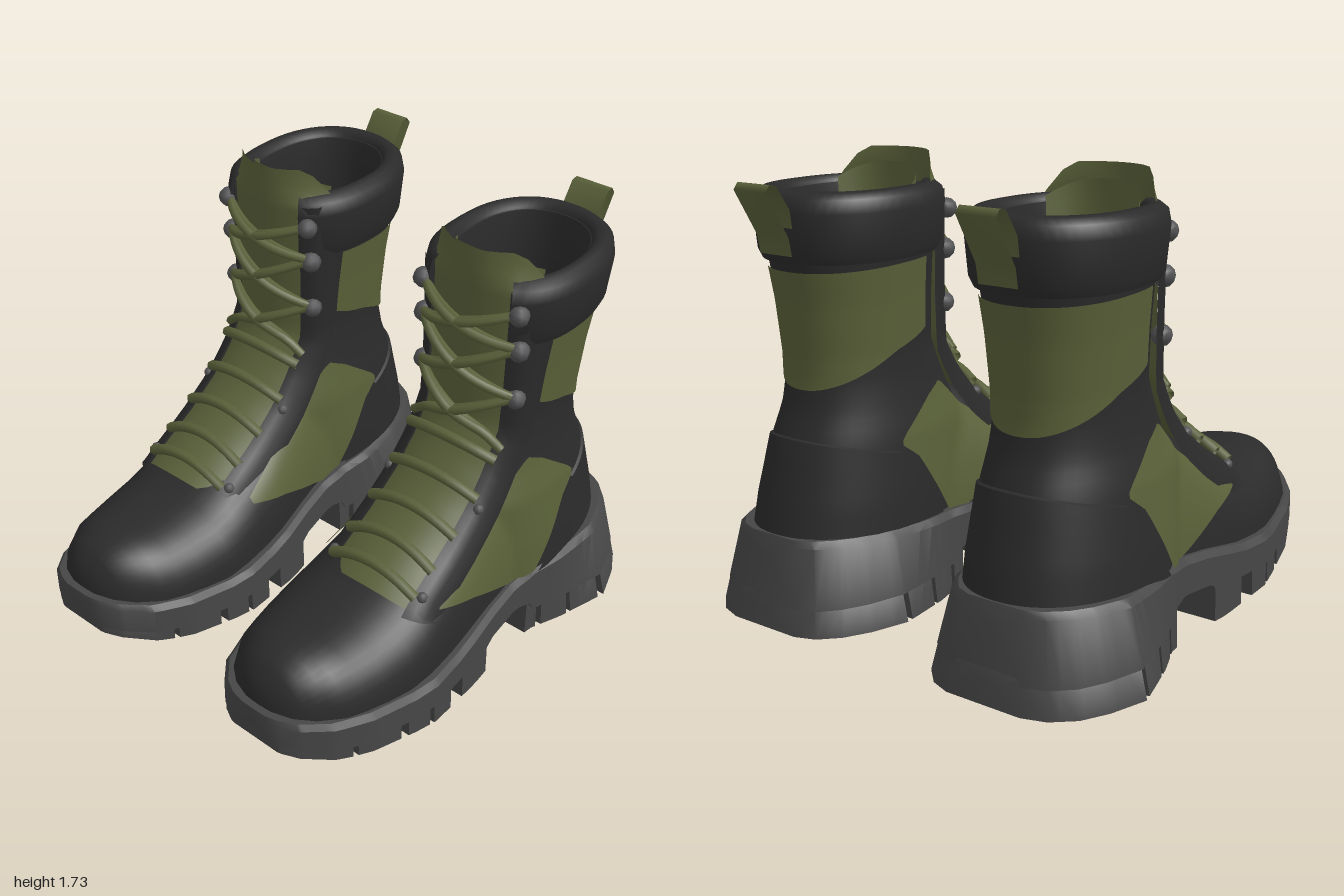
import * as THREE from 'three';
import { mergeVertices, toCreasedNormals } from 'three/addons/utils/BufferGeometryUtils.js';

const material = (name, color, side = THREE.FrontSide) => {
  const m = new THREE.MeshStandardMaterial({ color, side });
  m.name = name;
  return m;
};
const lerp = THREE.MathUtils.lerp;

// Linear lookup in rows [key, value, value...] sorted by rising key
function tab(rows, k, col = 1) {
  let i = 0;
  while (i < rows.length - 2 && k > rows[i + 1][0]) i++;
  const a = rows[i], b = rows[i + 1];
  const t = THREE.MathUtils.clamp((k - a[0]) / (b[0] - a[0]), 0, 1);
  return a[col] + (b[col] - a[col]) * t;
}
const range = (n, a, b) => Array.from({ length: n + 1 }, (_, i) => a + (b - a) * i / n);
const power = (v, p) => Math.sign(v) * Math.abs(v) ** p;

// Skin over rows of points; optional closed rows, end caps and creases
function skin(rows, { closed = false, caps = false, crease = 0 } = {}) {
  if (caps) {
    const middle = r => r.map(() => [0, 1, 2].map(k => r.reduce((s, p) => s + p[k], 0) / r.length));
    rows = [middle(rows[0]), ...rows, middle(rows[rows.length - 1])];
  }
  const m = rows[0].length, index = [];
  for (let i = 0; i < rows.length - 1; i++) {
    for (let j = 0; j < (closed ? m : m - 1); j++) {
      const a = i * m + j, b = i * m + (j + 1) % m;
      index.push(a, b, a + m, b, b + m, a + m);
    }
  }
  const g = new THREE.BufferGeometry();
  g.setAttribute('position', new THREE.Float32BufferAttribute(rows.flat(2), 3));
  g.setIndex(index);
  if (crease) return mergeVertices(toCreasedNormals(g, crease));
  g.computeVertexNormals();
  return g;
}

// Shaft: y, front z, back z, half width, centre x
const SHAFT = [[0.24, 0, -0.94, 0.318, 0.52], [0.45, 0.02, -0.9, 0.305, 0.513], [0.68, 0, -0.84, 0.278, 0.505],
  [0.8, -0.08, -0.79, 0.25, 0.5], [0.9, -0.13, -0.77, 0.235, 0.5], [1.0, -0.17, -0.77, 0.23, 0.5],
  [1.2, -0.17, -0.79, 0.243, 0.5], [1.38, -0.165, -0.82, 0.262, 0.5], [1.62, -0.15, -0.835, 0.28, 0.5]];
// Squareness of the shaft's front half: y, exponent
const SQUARE = [[0.45, 2.2], [0.9, 2.8], [1.4, 2.6]];
// Foot: z, half width, top y, centre x
const FOOT = [[-0.3, 0.27, 0.83, 0.5], [-0.1, 0.29, 0.82, 0.495], [0, 0.303, 0.75, 0.487], [0.15, 0.322, 0.65, 0.478], [0.38, 0.338, 0.535, 0.473],
  [0.47, 0.335, 0.505, 0.47], [0.65, 0.31, 0.49, 0.468], [0.78, 0.272, 0.5, 0.467], [0.88, 0.21, 0.475, 0.468], [0.935, 0.15, 0.42, 0.47], [0.965, 0.08, 0.36, 0.47]];
// Sole outline: z, inner x, outer x
const OUTLINE = [[-1, 0.36, 0.68], [-0.97, 0.28, 0.77], [-0.9, 0.21, 0.85], [-0.8, 0.155, 0.905], [-0.65, 0.105, 0.955], [-0.42, 0.13, 0.89],
  [-0.28, 0.165, 0.835], [-0.15, 0.165, 0.82], [0, 0.14, 0.83], [0.15, 0.11, 0.845], [0.4, 0.085, 0.86], [0.7, 0.13, 0.8],
  [0.85, 0.19, 0.74], [0.95, 0.28, 0.66], [0.985, 0.34, 0.6], [1, 0.4, 0.55]];
const SOLE_TOP = [[-1, 0.35], [-0.6, 0.335], [-0.2, 0.32], [0, 0.295], [0.25, 0.25], [0.5, 0.24], [0.8, 0.285], [1, 0.33]];
const SOLE_UNDER = [[-1, 0.1], [-0.27, 0.11], [-0.24, 0.18], [0, 0.16], [0.05, 0.13], [0.5, 0.12], [0.8, 0.15], [1, 0.2]];
const GROUND = [[-1, 0], [0.1, 0], [0.25, 0.015], [0.5, 0.04], [0.8, 0.1], [1, 0.17]];
// Centre line of the tongue: y, z
const INSTEP = [[0.5, 0.44], [0.57, 0.33], [0.66, 0.17], [0.77, 0.02], [0.88, -0.08], [1.0, -0.155], [1.2, -0.16], [1.6, -0.152], [1.74, -0.15]];
const CX = 0.5;

function shaftPoint(y, a, off = 0) {
  const f = tab(SHAFT, y, 1), b = tab(SHAFT, y, 2), p = 2 / (Math.cos(a) > 0 ? tab(SQUARE, y) : 2.2);
  return [tab(SHAFT, y, 4) + (tab(SHAFT, y, 3) + off) * power(Math.sin(a), p), y, (f + b) / 2 + ((f - b) / 2 + off) * power(Math.cos(a), p)];
}
// Outermost x of the upper on side s at height y and depth z
function sideX(y, z, s) {
  const f = tab(SHAFT, y, 1), b = tab(SHAFT, y, 2), t = (z - (f + b) / 2) / ((f - b) / 2), n = t > 0 ? tab(SQUARE, y) : 2.2;
  const shaft = tab(SHAFT, y, 3) * Math.max(0, 1 - Math.abs(t) ** n) ** (1 / n);
  const v = (y - 0.22) / (tab(FOOT, z, 2) - 0.22);
  const foot = z < -0.3 ? 0 : tab(FOOT, z, 1) * Math.max(0, 1 - v ** 2.4) ** (1 / 2.4);
  return s * Math.max(s * tab(SHAFT, y, 4) + shaft, s * tab(FOOT, z, 3) + foot);
}
// Point on the curved front of the boot, x from its middle, off along its normal
function instep(y, x, off) {
  const e = 0.03, dz = (tab(INSTEP, y + e) - tab(INSTEP, y - e)) / (2 * e), l = Math.hypot(1, dz);
  const d = off - 0.05 * (x / 0.18) ** 2;
  return [CX - 0.005 + x, y - dz / l * d, tab(INSTEP, y) + d / l];
}

// Slab of the sole between two depths, following the outline and its flare
function soleSlab(z0, z1, top, under, inset) {
  const n = Math.max(3, Math.ceil((z0 - z1) * 16));
  const zs = range(n, z0, z1).concat(OUTLINE.map(o => o[0]).filter(z => z < z0 && z > z1)).sort((a, b) => b - a);
  const rows = zs.map(z => {
    const a = tab(OUTLINE, z, 1), b = tab(OUTLINE, z, 2), c = (a + b) / 2, h = (b - a) / 2 - inset;
    const k = tab([[-0.65, 0.2], [-0.25, 0.02], [1, 0.02]], z), kz = tab([[-0.9, 0.06], [-0.5, 0]], z);
    const p = (s, y, d) => [c + s * (h * (1 - k * y / 0.33) - d), y, z * (1 - kz * y / 0.33)];
    const t = tab(top, z), u = tab(under, z);
    return [p(-1, t, 0.02), p(1, t, 0.02), p(1, t - 0.025, 0), p(1, u, 0), p(-1, u, 0), p(-1, t - 0.025, 0)];
  });
  return skin(rows, { closed: true, caps: true, crease: 0.6 });
}

function tube(points, radius) {
  const curve = new THREE.CatmullRomCurve3(points.map(p => new THREE.Vector3(...p)));
  return new THREE.TubeGeometry(curve, 14, radius, 6);
}

function createBoot(mats) {
  const boot = new THREE.Group();
  const add = (name, geometry, mat) => {
    const mesh = new THREE.Mesh(geometry, mat);
    mesh.name = name;
    boot.add(mesh);
  };
  const { leather, canvas, fabric, rubber, metal, inner } = mats;
  const ring = range(47, 0, Math.PI * 2 * 47 / 48);

  // Sole and tread
  add('midsole', soleSlab(1, -1, SOLE_TOP, SOLE_UNDER, 0), rubber);
  const lugTop = SOLE_UNDER.map(([z, y]) => [z, y + 0.025]);
  [[0.99, 0.78], [0.76, 0.57], [0.535, 0.43], [0.41, 0.3], [0.22, 0.04], [-0.24, -0.3], [-0.325, -0.45], [-0.47, -0.62], [-0.65, -1]]
    .forEach(([a, b]) => add('treadLug', soleSlab(a, b, lugTop, GROUND, 0.004), rubber));

  // Foot and toe, domed across
  const footZ = [0.965, 0.95, 0.935, 0.91, 0.88, 0.83, 0.78, 0.7, 0.6, 0.47, 0.38, 0.27, 0.15, 0.07, 0, -0.1, -0.3];
  const foot = footZ.map(z => range(24, 0, Math.PI).map(t => [
    tab(FOOT, z, 3) - tab(FOOT, z, 1) * power(Math.cos(t), 2 / 2.4),
    0.22 + (tab(FOOT, z, 2) - 0.22) * Math.max(0, Math.sin(t)) ** (2 / 2.4), z]));
  foot.unshift(foot[0].map(() => [0.47, 0.29, 0.972]));
  add('foot', skin(foot), leather);

  // Shaft, lining and padded collar
  add('shaft', skin(range(34, 0.26, 1.59).map(y => ring.map(a => shaftPoint(y, a))), { closed: true }), leather);
  const lining = [[1.585, 0], [1.605, -0.03], [1.595, -0.06], [1.5, -0.065], [1.35, -0.045], [1.2, -0.022], [1, -0.02], [0.9, -0.02], [0.8, -0.02], [0.68, -0.02], [0.45, -0.02]];
  const liningRows = lining.map(([y, o]) => ring.map(a => shaftPoint(y, a, o)));
  liningRows.push(ring.map(() => [CX, 0.45, -0.45]));
  add('lining', skin(liningRows, { closed: true, crease: 0.9 }), inner);
  const pad = [[1.365, -0.02], [1.56, -0.062], [1.605, -0.055], [1.625, -0.035], [1.622, -0.005], [1.6, 0.022], [1.55, 0.035], [1.4, 0.032], [1.365, 0.02]];
  add('collar', skin(range(44, 0.52, Math.PI * 2 - 0.52).map(a => pad.map(([y, o]) => shaftPoint(y, a, o))),
    { closed: true, caps: true, crease: 0.9 }), leather);

  // Cloth panel around the back of the shaft
  const arc = range(36, 1.22, Math.PI * 2 - 1.22);
  const depth = a => (1 + Math.cos(a)) / 1.34;
  add('shaftPanel', skin(range(14, 0, 1).map(v => arc.map(a =>
    shaftPoint(lerp(0.88 + 0.19 * depth(a), 1.33 + 0.02 * depth(a), v), a, 0.008)))), canvas);

  // Heel counter, its front edge leaning back
  const counter = range(10, 0, 1).map(v => {
    const a0 = lerp(1.25, 1.8, v);
    return range(36, a0, Math.PI * 2 - a0).map(a => shaftPoint(lerp(0.3, 0.7 - 0.1 * (1 + Math.cos(a)), v), a, 0.01));
  });
  counter.push(range(36, 1.8, Math.PI * 2 - 1.8).map(a => shaftPoint(0.708 - 0.1 * (1 + Math.cos(a)), a, -0.01)));
  add('heelCounter', skin(counter, { crease: 0.7 }), leather);

  // Cloth panels on both sides of the foot
  const upperEdge = [[-0.53, 0.67], [-0.5, 0.7], [-0.35, 0.81], [-0.27, 0.85], [-0.1, 0.71], [0, 0.64], [0.28, 0.49]];
  const lowerEdge = [[-0.53, 0.65], [-0.45, 0.59], [-0.38, 0.48], [-0.27, 0.315], [-0.18, 0.31], [-0.05, 0.36], [0.1, 0.42], [0.28, 0.465]];
  for (const s of [1, -1]) {
    const zs = s > 0 ? range(32, 0.28, -0.53) : range(32, -0.53, 0.28);
    add('sidePanel', skin(range(16, 0, 1).map(v => zs.map(z => {
      const y = lerp(tab(lowerEdge, z), tab(upperEdge, z), v);
      return [sideX(y, z, s) + s * 0.013, y, z];
    }))), canvas);
  }

  // Tongue, its top wrapping back above the collar, with wings inside the shaft
  const tongue = range(30, 0.52, 1.6).map(y => range(12, -0.19, 0.19).map(x => instep(y, x, 0.018)));
  [[1.645, 1.12, 0.5], [1.69, 1.22, 1], [1.73, 1.18, 1]].forEach(([y, w, f]) => tongue.push(range(12, -0.19, 0.19).map(x => {
    const p = instep(1.6, x * w, 0.018);
    return [p[0], y - (y - 1.58) * 130 * Math.max(0, Math.abs(x) - 0.12) ** 2, p[2] - 2 * f * x * x];
  })));
  add('tongue', skin(tongue), fabric);
  add('tongueWings', skin(range(8, 0, 1).map(v => range(24, -1.1, 1.1).map(a =>
    shaftPoint(lerp(1.2, 1.68 - 0.05 * a * a, v), a, lerp(-0.03, -0.07, Math.min(1, v * 2)))))), fabric);

  for (const s of [1, -1]) {
    // Lace facing beside the tongue
    const edge = [[0.165, -0.02], [0.168, 0.03], [0.2, 0.034], [0.228, 0.026], [0.245, -0.04]];
    if (s < 0) edge.reverse();
    add('laceFacing', skin(range(30, 0.49, 1.59).map(y => edge.map(([x, o]) => {
      const w = tab([[0.49, 1.12], [0.9, 1], [1.6, 1.03]], y);
      return instep(y, s * x * w, o);
    })), { crease: 0.7 }), leather);
    // Lace hooks and eyelets
    [[1.51, 0.04, 0.05], [1.355, 0.042, 0.035], [1.145, 0.04, 0.03], [0.77, 0.022, 0.03], [0.56, 0.022, 0.03]]
      .forEach(([y, r, o]) => add('laceHook', new THREE.SphereGeometry(r, 8, 6).translate(...instep(y, s * 0.212, o)), metal));
    // Crossed laces
    [[1.51, 1.37], [1.36, 1.16], [1.15, 0.95]].forEach(([a, b]) => {
      for (const [y0, y1] of [[a, b], [b, a]]) {
        add('crossLace', tube(range(6, -1, 1).map(u => instep(lerp(y0, y1, (u + 1) / 2), s * u * 0.205,
          0.046 + (y0 > y1 ? 0.022 : 0) * (1 - u * u))), 0.018), fabric);
      }
    });
  }

  // Straight laces over the instep
  [0.91, 0.79, 0.69, 0.61, 0.55].forEach(y =>
    add('straightLace', tube(range(6, -1, 1).map(u => instep(y + 0.015 * (1 - u * u), u * 0.2, 0.045)), 0.022), fabric));

  // Pull loop at the back
  const loop = [[1.4, -0.872], [1.47, -0.885], [1.64, -0.985], [1.665, -0.965], [1.66, -0.935], [1.57, -0.875], [1.5, -0.865]];
  add('pullLoop', skin(loop.map(([y, z]) => [[0.42, y, z], [0.58, y, z]])), fabric);
  return boot;
}

// Mirrored copy with the face order turned round
function mirror(source) {
  const copy = source.clone();
  copy.children.forEach(mesh => {
    const g = mesh.geometry.clone().scale(-1, 1, 1), ix = g.index.array;
    for (let i = 0; i < ix.length; i += 3) [ix[i + 1], ix[i + 2]] = [ix[i + 2], ix[i + 1]];
    mesh.geometry = g;
  });
  return copy;
}

export function createModel() {
  const left = createBoot({
    leather: material('black leather', 0x2a2a2a),
    canvas: material('olive canvas', 0x596038),
    fabric: material('olive fabric', 0x5a613a, THREE.DoubleSide),
    rubber: material('grey rubber', 0x464646),
    metal: material('dark metal', 0x525254),
    inner: material('dark lining', 0x2b2b2b),
  });
  left.name = 'leftBoot';
  const right = mirror(left);
  right.name = 'rightBoot';
  const model = new THREE.Group();
  model.name = 'boots';
  model.add(left, right);
  return model;
}
